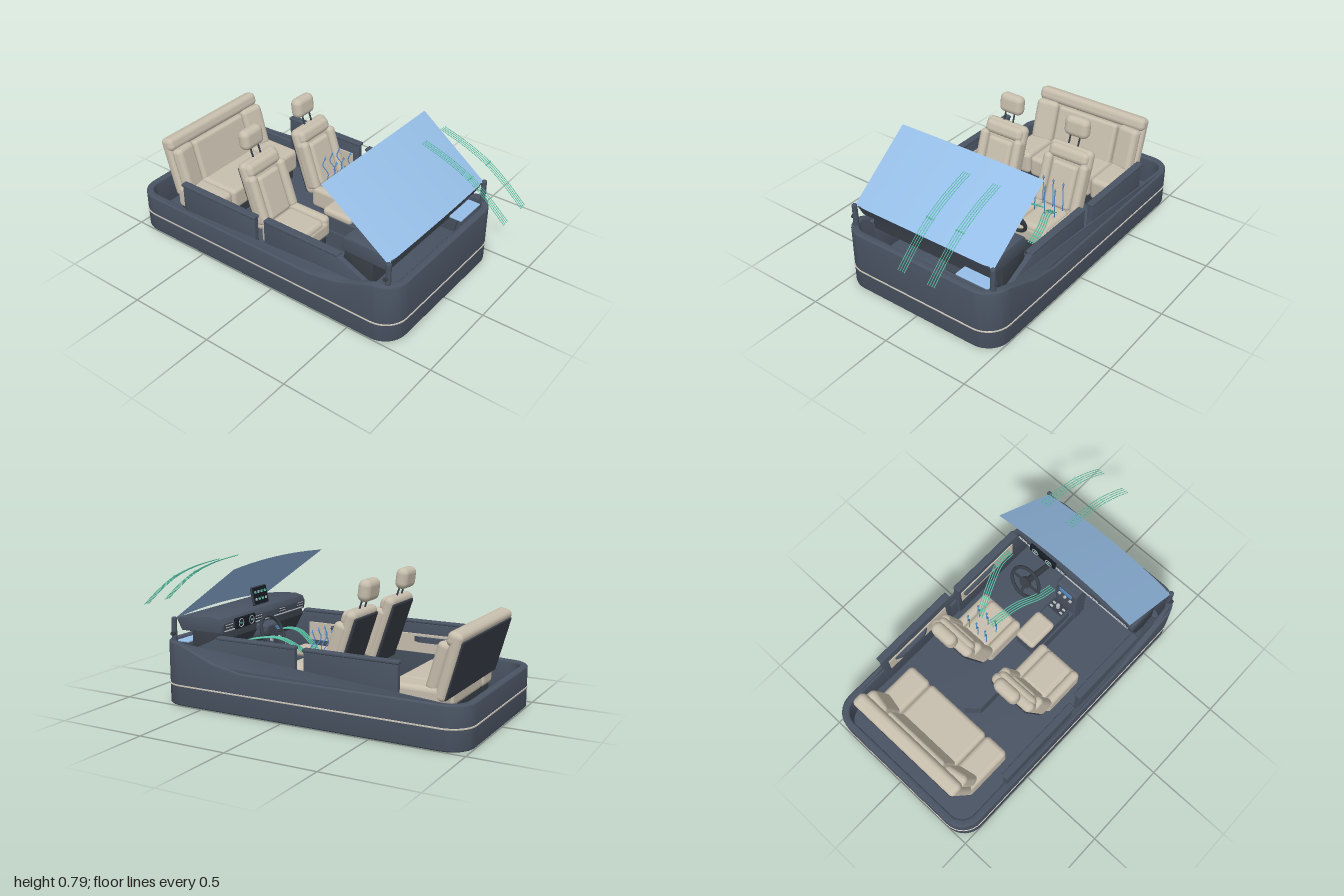
import * as THREE from 'three';
import { toCreasedNormals } from 'three/addons/utils/BufferGeometryUtils.js';
import { RoundedBoxGeometry } from 'three/addons/geometries/RoundedBoxGeometry.js';

const mat = (name, color, side = THREE.FrontSide) => {
  const m = new THREE.MeshStandardMaterial({ color, side });
  m.name = name;
  return m;
};

export function createModel() {
  const root = new THREE.Group();
  root.name = 'openCabin';
  const body = mat('slate body', 0x495362), dark = mat('dark trim', 0x383e47);
  const beige = mat('beige upholstery', 0xc7bead), seam = mat('pale trim line', 0xcdc6ba);
  const glass = mat('blue glass', 0x97bfe8, THREE.DoubleSide), air = mat('teal airflow', 0x5cc8aa);
  const screen = mat('screen black', 0x161c24), silver = mat('silver', 0xb4bac1), blue = mat('display blue', 0x5590d0);

  const add = (name, geo, m, parent = root, x = 0, y = 0, z = 0) => {
    const o = new THREE.Mesh(geo, m);
    o.name = name;
    o.position.set(x, y, z);
    parent.add(o);
    return o;
  };
  // softly rounded block, sized and centred
  const pad = (name, m, [w, h, d], [x, y, z], r = 0.02, parent = root) =>
    add(name, new RoundedBoxGeometry(w, h, d, 3, Math.min(r, w / 2.1, h / 2.1, d / 2.1)), m, parent, x, y, z);
  const group = (name, x, y, z, rx = 0, parent = root) => {
    const g = new THREE.Group();
    g.name = name;
    g.position.set(x, y, z);
    g.rotation.x = rx;
    parent.add(g);
    return g;
  };
  const tube = (name, pts, r, m, parent) =>
    add(name, new THREE.TubeGeometry(new THREE.CatmullRomCurve3(pts.map(p => new THREE.Vector3(...p))), 14, r, 5), m, parent);
  // side profile given as [z, y], extruded across x
  const profile = (name, pts, width, x, m, bevel = 0.006) => {
    const s = new THREE.Shape(pts.map(([z, y]) => new THREE.Vector2(-z, y)));
    const g = new THREE.ExtrudeGeometry(s, { depth: width - 2 * bevel, bevelEnabled: true, bevelSize: bevel,
      bevelThickness: bevel, bevelOffset: -bevel, bevelSegments: 2 });
    g.translate(0, 0, -width / 2 + bevel).rotateY(Math.PI / 2);
    return add(name, toCreasedNormals(g, 0.6), m, root, x);
  };

  // Hull outline: rounded rectangle inset by d, with extra points along the sides
  const Z0 = -1, Z1 = 0.77, stops = [-0.6, -0.2, 0.1, 0.25, 0.34, 0.42, 0.5, 0.58];
  const outline = d => {
    const r = 0.13 - d, hx = 0.5 - d, a = Z0 + d, b = Z1 - d, pts = [];
    const arc = (cx, cz, t0) => {
      for (let i = 0; i <= 8; i++) {
        const t = t0 + i * Math.PI / 16;
        pts.push(new THREE.Vector2(cx + r * Math.cos(t), -(cz + r * Math.sin(t))));
      }
    };
    arc(hx - r, b - r, 0);
    arc(-hx + r, b - r, Math.PI / 2);
    [...stops].reverse().forEach(z => pts.push(new THREE.Vector2(-hx, -z)));
    arc(-hx + r, a + r, Math.PI);
    arc(hx - r, a + r, Math.PI * 1.5);
    stops.forEach(z => pts.push(new THREE.Vector2(hx, -z)));
    return pts.reverse();
  };
  const slab = (d, y0, h, v, hole) => {
    const s = new THREE.Shape(outline(d));
    if (hole) s.holes.push(new THREE.Path(outline(hole)));
    return new THREE.ExtrudeGeometry(s, { depth: h - 2 * v, bevelEnabled: true, bevelSize: v, bevelThickness: v,
      bevelOffset: -v, bevelSegments: 3 }).translate(0, 0, v).rotateX(-Math.PI / 2).translate(0, y0, 0);
  };
  // Wall rises from 0.23 at the back to 0.35 at the nose
  const rise = z => z < 0.25 ? 0.23 : z < 0.42 ? 0.23 + (z - 0.25) * 0.176 : Math.min(0.35, 0.26 + (z - 0.42) * 0.39);
  const wall = slab(0, 0, 0.23, 0.01, 0.042);
  const p = wall.attributes.position;
  for (let i = 0; i < p.count; i++)
    if (p.getY(i) > 0.15) p.setY(i, p.getY(i) + rise(p.getZ(i)) - 0.23);
  add('hullWall', toCreasedNormals(wall, 0.7), body);
  add('floor', toCreasedNormals(slab(0.012, 0.001, 0.06, 0.001), 0.6), body);
  add('beltTrim', toCreasedNormals(slab(-0.004, 0.11, 0.008, 0.001, 0.02), 0.6), seam);

  // Windscreen, gently bowed
  const ws = new THREE.PlaneGeometry(0.9, 1, 12, 1), wp = ws.attributes.position;
  for (let i = 0; i < wp.count; i++) {
    const x = wp.getX(i), c = 1 - (x / 0.45) ** 2, top = wp.getY(i) > 0;
    wp.setXYZ(i, x * (top ? 1.01 : 1), (top ? 0.765 : 0.468) + 0.016 * c, (top ? 0.303 : 0.7) + 0.016 * c);
  }
  ws.computeVertexNormals();
  add('windscreen', ws, glass);

  // Dashboard: cowl, fascia and lower panel
  profile('dashCowl', [[0.705, 0.472], [0.6, 0.488], [0.47, 0.497], [0.42, 0.485], [0.405, 0.455], [0.41, 0.41],
    [0.5, 0.405], [0.67, 0.405]], 0.86, 0, body, 0.006);
  profile('dashLower', [[0.6, 0.42], [0.43, 0.42], [0.42, 0.37], [0.47, 0.28], [0.6, 0.28]], 0.86, 0, dark);
  pad('projectorLens', glass, [0.2, 0.012, 0.075], [0.32, 0.34, 0.672], 0.005);
  pad('dashStrip', silver, [0.8, 0.006, 0.008], [0, 0.418, 0.406], 0.002);
  for (const x of [-0.36, -0.16, 0.09, 0.37]) {
    pad('airVent', dark, [0.075, 0.03, 0.012], [x, 0.445, 0.405], 0.005);
    for (const k of [-1, 1]) pad('ventSlat', silver, [0.065, 0.004, 0.004], [x, 0.445 + k * 0.007, 0.398], 0.001);
  }
  const cluster = group('instrumentCluster', 0.22, 0.445, 0.4);
  pad('clusterHousing', screen, [0.19, 0.06, 0.02], [0, 0, 0], 0.009, cluster);
  for (const x of [-0.05, 0.05]) {
    add('gaugeRing', new THREE.TorusGeometry(0.022, 0.0025, 6, 20), silver, cluster, x, 0, -0.011);
    pad('gaugeReadout', air, [0.018, 0.01, 0.004], [x, 0, -0.011], 0.001, cluster);
  }
  const display = group('centreScreen', 0, 0.55, 0.45, 0.2);
  pad('screenCase', dark, [0.15, 0.105, 0.014], [0, 0, 0], 0.006, display);
  pad('screenFace', screen, [0.138, 0.093, 0.004], [0, 0, -0.007], 0.001, display);
  for (let i = 0; i < 4; i++) for (let j = 0; j < 2; j++)
    pad('screenTile', (i + j) % 3 ? air : silver, [0.02, 0.014, 0.003], [-0.048 + i * 0.032, -0.02 + j * 0.04, -0.009], 0.001, display);

  // Centre stack, tunnel and armrest
  pad('centreStack', body, [0.15, 0.34, 0.1], [0, 0.23, 0.4], 0.015);
  pad('stackDisplay', blue, [0.09, 0.04, 0.005], [0, 0.36, 0.349], 0.002);
  for (const x of [-0.04, 0, 0.04])
    add('stackKnob', new THREE.CylinderGeometry(0.01, 0.01, 0.014, 12).rotateX(Math.PI / 2), silver, root, x, 0.31, 0.346);
  const tun = new THREE.Shape([[-0.07, -0.4], [0.07, -0.4], [0.07, 0.42], [0, 0.48], [-0.07, 0.42]].map(q => new THREE.Vector2(...q)));
  add('tunnel', new THREE.ExtrudeGeometry(tun, { depth: 0.11, bevelEnabled: false }).rotateX(-Math.PI / 2), body, root, 0, 0.05, 0);
  pad('consoleBox', body, [0.12, 0.12, 0.32], [0, 0.19, 0.17], 0.012);
  pad('armrest', beige, [0.13, 0.05, 0.19], [0, 0.265, 0.1], 0.022);
  pad('shifterPlate', dark, [0.1, 0.006, 0.06], [0, 0.252, 0.29], 0.002);
  for (const x of [-0.035, 0.035]) for (const z of [0.275, 0.3])
    pad('shifterButton', silver, [0.02, 0.006, 0.012], [x, 0.256, z], 0.002);
  pad('shifterKnob', silver, [0.022, 0.05, 0.022], [0, 0.275, 0.29], 0.01);

  // Steering wheel
  const wheel = group('steeringWheel', 0.2, 0.395, 0.235, 0.42);
  add('rim', new THREE.TorusGeometry(0.095, 0.01, 8, 32), dark, wheel);
  add('hub', new THREE.CylinderGeometry(0.032, 0.036, 0.02, 18).rotateX(Math.PI / 2), dark, wheel);
  for (const a of [0, Math.PI, -Math.PI / 2])
    pad('spoke', dark, [0.07, 0.016, 0.01], [0.058 * Math.cos(a), 0.058 * Math.sin(a), 0], 0.004, wheel).rotation.z = a;
  add('column', new THREE.CylinderGeometry(0.016, 0.02, 0.2, 12).rotateX(Math.PI / 2), dark, wheel, 0, 0, 0.1);

  // Front seats
  for (const s of [-1, 1]) {
    const seat = group('frontSeat', s * 0.22, 0, 0);
    pad('seatBase', dark, [0.22, 0.1, 0.22], [0, 0.1, -0.04], 0.01, seat);
    pad('cushion', beige, [0.18, 0.12, 0.24], [0, 0.212, -0.045], 0.03, seat);
    pad('cushionFront', beige, [0.26, 0.1, 0.06], [0, 0.2, 0.05], 0.028, seat);
    const back = group('backrest', 0, 0.22, -0.185, -0.32, seat);
    pad('backCore', beige, [0.275, 0.395, 0.065], [0, 0.192, -0.015], 0.031, back);
    pad('backCushion', beige, [0.165, 0.26, 0.05], [0, 0.16, 0.022], 0.022, back);
    pad('upperCushion', beige, [0.25, 0.08, 0.07], [0, 0.338, 0.004], 0.03, back);
    pad('backShell', dark, [0.25, 0.36, 0.024], [0, 0.185, -0.042], 0.011, back);
    for (const k of [-1, 1]) {
      pad('cushionBolster', beige, [0.055, 0.13, 0.26], [k * 0.115, 0.21, -0.055], 0.025, seat);
      pad('backBolster', beige, [0.055, 0.29, 0.08], [k * 0.115, 0.17, 0.015], 0.026, back);
      add('headrestPost', new THREE.CylinderGeometry(0.005, 0.005, 0.1, 8), dark, back, k * 0.03, 0.41, -0.01);
    }
    pad('headrest', beige, [0.15, 0.115, 0.072], [0, 0.682, -0.354], 0.034, seat).rotation.x = -0.12;
  }

  // Rear bench
  const bench = group('rearBench', 0, 0, 0);
  pad('benchBase', dark, [0.7, 0.1, 0.26], [0, 0.1, -0.67], 0.01, bench);
  pad('benchCentre', beige, [0.42, 0.13, 0.3], [0, 0.19, -0.665], 0.025, bench);
  const rb = group('benchBack', 0, 0.2, -0.785, -0.27, bench);
  pad('benchBackCore', beige, [0.73, 0.355, 0.06], [0, 0.175, -0.012], 0.025, rb);
  pad('benchBackTop', beige, [0.73, 0.08, 0.08], [0, 0.315, 0], 0.03, rb);
  pad('benchBackCentre', beige, [0.41, 0.25, 0.05], [0, 0.15, 0.03], 0.02, rb);
  pad('benchBackShell', dark, [0.7, 0.31, 0.02], [0, 0.165, -0.038], 0.009, rb);
  for (const s of [-1, 1]) {
    pad('benchSide', beige, [0.15, 0.14, 0.3], [s * 0.29, 0.192, -0.665], 0.028, bench);
    pad('benchBackSide', beige, [0.14, 0.26, 0.07], [s * 0.285, 0.155, 0.035], 0.028, rb).rotation.y = -s * 0.2;
  }

  // Doors, screen posts and knobs on both sides
  for (const s of [-1, 1]) {
    profile('frontDoor', [[-0.065, 0.395], [0.41, 0.395], [0.46, 0.37], [0.6, 0.305], [0.55, 0.08], [-0.065, 0.08]], 0.03, s * 0.455, body);
    pad('frontDoorRail', body, [0.045, 0.018, 0.48], [s * 0.45, 0.394, 0.175], 0.007);
    pad('frontDoorInsert', beige, [0.008, 0.11, 0.42], [s * 0.438, 0.27, 0.17], 0.003);
    pad('frontArmrest', body, [0.028, 0.03, 0.25], [s * 0.43, 0.3, 0.1], 0.012);
    profile('rearDoor', [[-0.64, 0.385], [-0.12, 0.385], [-0.12, 0.08], [-0.64, 0.08]], 0.03, s * 0.462, body);
    pad('rearDoorRail', body, [0.042, 0.018, 0.53], [s * 0.464, 0.394, -0.38], 0.007);
    pad('rearDoorInsert', beige, [0.008, 0.11, 0.44], [s * 0.445, 0.27, -0.38], 0.003);
    const arm = new THREE.Shape([[0, 0.135], [0, -0.135], [0.03, -0.08], [0.03, 0.08]].map(q => new THREE.Vector2(...q)));
    add('rearArmrest', new THREE.ExtrudeGeometry(arm, { depth: 0.03, bevelEnabled: false }).rotateX(-Math.PI / 2),
      body, root, s * 0.448, 0.28, -0.435).rotation.y = s > 0 ? Math.PI : 0;
    pad('screenPost', body, [0.028, 0.14, 0.028], [s * 0.45, 0.41, 0.704], 0.012);
    add('postKnob', new THREE.CylinderGeometry(0.011, 0.011, 0.02, 12).rotateZ(Math.PI / 2), dark, root, s * 0.468, 0.39, 0.7);
  }

  // Airflow strands: over the screen, from the dash, and above the driver's seat
  const flow = group('airflow', 0, 0, 0);
  for (const cx of [0.14, 0.32]) for (let i = 0; i < 4; i++) {
    const x = cx - 0.02 + i * 0.0133;
    tube('screenStrand', [[x, 0.5, 0.999], [x, 0.59, 0.9], [x, 0.675, 0.785], [x, 0.74, 0.65], [x, 0.789, 0.5]], 0.0018, air, flow);
    add('strandBead', new THREE.SphereGeometry(0.005, 8, 6), air, flow, x, 0.68, 0.78);
  }
  for (const s of [-1, 1]) for (let i = 0; i < 4; i++) {
    const o = (i - 1.5) * 0.013, x = t => 0.235 + s * (0.04 + 0.12 * t) + o;
    tube('dashStrand', [[x(1), 0.37, 0.32], [x(0.9), 0.4, 0.22], [x(0.5), 0.405, 0.1], [x(0), 0.31, -0.06]], 0.003, air, flow);
  }
  for (let i = 0; i < 3; i++) for (let j = 0; j < 2; j++) {
    const x = 0.15 + i * 0.065, z = -0.06 - j * 0.08;
    tube('seatWisp', [[x, 0.27, z], [x + 0.01, 0.34, z + 0.015], [x - 0.008, 0.4, z - 0.01], [x, 0.44, z]], 0.003, blue, flow);
    add('wispTip', new THREE.ConeGeometry(0.007, 0.022, 6), blue, flow, x, 0.447, z);
  }
  return root;
}
